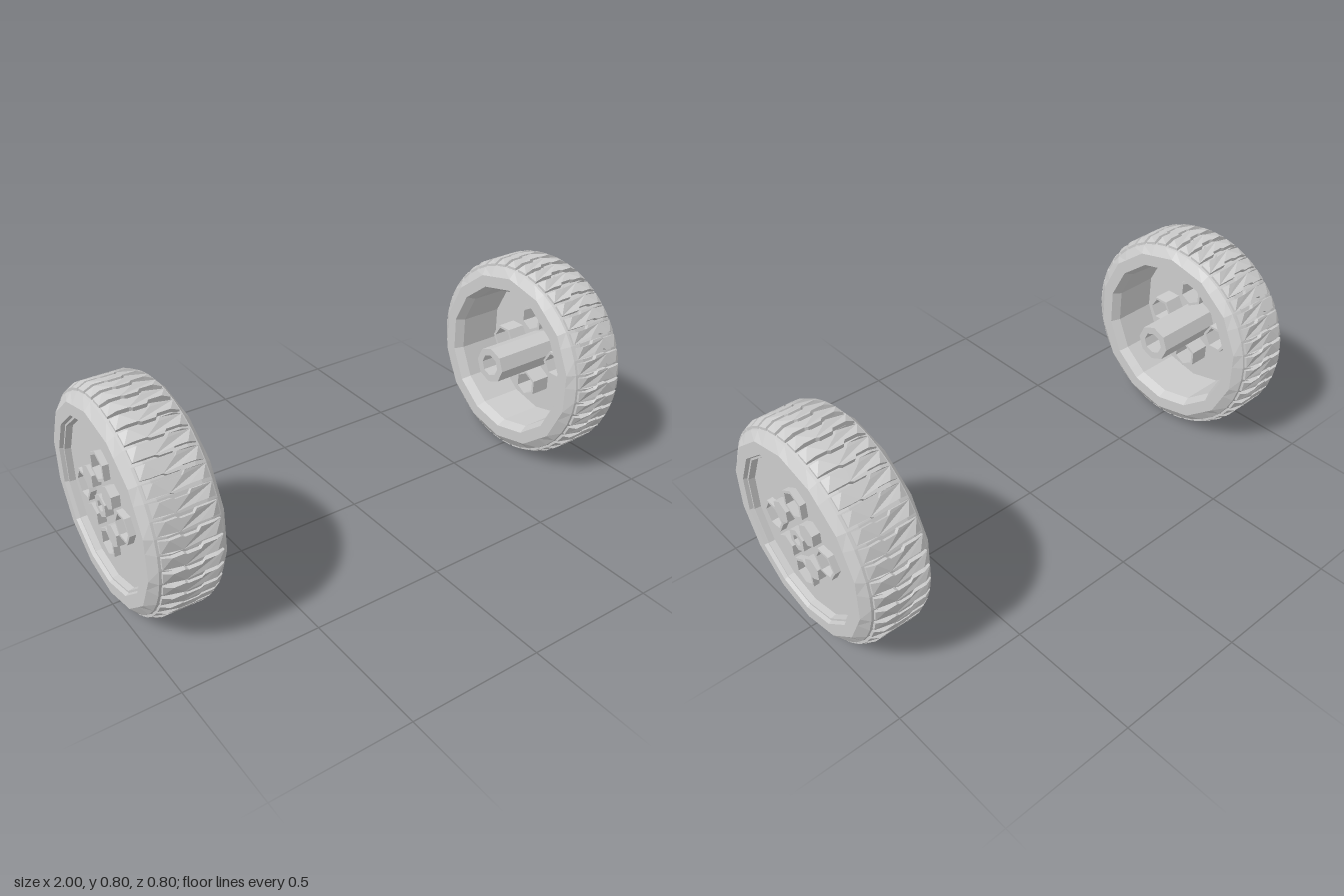
import * as THREE from 'three';
import { mergeGeometries } from 'three/addons/utils/BufferGeometryUtils.js';

const SIDES = 14;   // facets of the rim
const LUGS = 42;    // tread blocks around each tire
const material = new THREE.MeshStandardMaterial({ color: 0xcccccc, flatShading: true });

// Points of a regular polygon with one corner pointing along `angle`
function polygon(r, sides, cx = 0, cy = 0, angle = Math.PI / 2) {
  return Array.from({ length: sides }, (_, i) => {
    const a = angle + (i / sides) * Math.PI * 2;
    return new THREE.Vector2(cx + r * Math.cos(a), cy + r * Math.sin(a));
  });
}

// Prism along z, with any number of through holes
function prism(outline, holes, z0, z1) {
  const shape = new THREE.Shape(outline);
  holes.forEach((h) => shape.holes.push(new THREE.Path(h)));
  return new THREE.ExtrudeGeometry(shape, { depth: z1 - z0, bevelEnabled: false }).translate(0, 0, z0);
}

// Round crown blending into a 14-sided sidewall, rim lip and barrel
function tireGeometry() {
  const profile = [
    [0.285, -0.1], [0.303, -0.135], [0.35, -0.135], [0.376, -0.112], [0.385, -0.075],
    [0.385, 0.075], [0.376, 0.112], [0.35, 0.135], [0.305, 0.135], [0.3, 0.122],
    [0.293, 0.122], [0.288, 0.09], [0.285, 0.08], [0.285, -0.1],
  ].map(([r, z]) => new THREE.Vector2(r, z));
  const geo = new THREE.LatheGeometry(profile, LUGS).rotateX(Math.PI / 2);
  const p = geo.attributes.position;
  const step = (Math.PI * 2) / SIDES;
  for (let i = 0; i < p.count; i++) {
    const x = p.getX(i), y = p.getY(i);
    if (Math.hypot(x, y) > 0.36) continue;
    const a = Math.atan2(x, -y) + Math.PI * 2;
    const off = a - Math.floor(a / step + 1e-6) * step - step / 2;
    const k = Math.cos(step / 2) / Math.cos(off);
    p.setXY(i, x * k, y * k);
  }
  geo.computeVertexNormals();
  return geo;
}

// Stepped tread blocks, dropping off toward the shoulders
function treadGeometry() {
  const w = 0.022, jog = 0.006;
  const side = [[-0.5, -0.104], [0, -0.075], [0, -0.035], [1, -0.025], [1, 0.02], [-1, 0.03], [-1, 0.075], [-0.5, 0.104]];
  const right = side.map(([j, z]) => new THREE.Vector2(w + j * jog, z));
  const left = side.map(([j, z]) => new THREE.Vector2(-w + j * jog, z)).reverse();
  const block = prism([...right, ...left], [], 0, 0.03).rotateX(-Math.PI / 2).translate(0, 0.37, 0);
  const p = block.attributes.position;
  for (let i = 0; i < p.count; i++) {
    if (Math.abs(p.getZ(i)) > 0.09) p.setY(i, p.getY(i) - 0.014);
  }
  block.computeVertexNormals();
  return mergeGeometries(Array.from({ length: LUGS }, (_, i) =>
    block.clone().rotateZ(((i + 0.5) / LUGS) * Math.PI * 2)));
}

// One wheel, axle along z, outer face toward +z
function createWheel(name) {
  const wheel = new THREE.Group();
  wheel.name = name;
  const add = (part, geo) => {
    const mesh = new THREE.Mesh(geo, material);
    mesh.name = part;
    wheel.add(mesh);
  };

  add('tire', tireGeometry());
  add('tread', treadGeometry());

  // Four open hex sockets around the hub, corners pointing outward
  const sockets = [0, 1, 2, 3].map((i) => {
    const a = (i * Math.PI) / 2;
    return { a, x: 0.147 * Math.cos(a), y: 0.147 * Math.sin(a) };
  });
  const hexAt = (s, r) => polygon(r, 6, s.x, s.y, s.a);
  add('disc', prism(polygon(0.293, SIDES),
    [...sockets.map((s) => hexAt(s, 0.05)), polygon(0.03, 6)], 0.08, 0.1));
  sockets.forEach((s) => add('hexSocket', prism(hexAt(s, 0.057), [hexAt(s, 0.046)], 0.0, 0.122)));

  // Solid bolts between the sockets
  for (const sx of [-1, 1]) for (const sy of [-1, 1]) {
    add('bolt', prism(polygon(0.042, 6, sx * 0.073, sy * 0.073), [], 0.085, 0.13));
  }

  // Centre nut and the hollow hub reaching inward
  add('centreNut', prism(polygon(0.043, 6), [polygon(0.021, 6)], 0.075, 0.128));
  add('hub', prism(polygon(0.072, 8), [polygon(0.043, 8)], -0.205, 0.085));
  return wheel;
}

export function createModel() {
  const model = new THREE.Group();
  model.name = 'wheelPair';
  for (const [side, name] of [[1, 'leftWheel'], [-1, 'rightWheel']]) {
    const wheel = createWheel(name);
    wheel.position.set(side * 0.865, 0.4, 0);
    wheel.rotation.y = (side * Math.PI) / 2;
    model.add(wheel);
  }
  return model;
}
